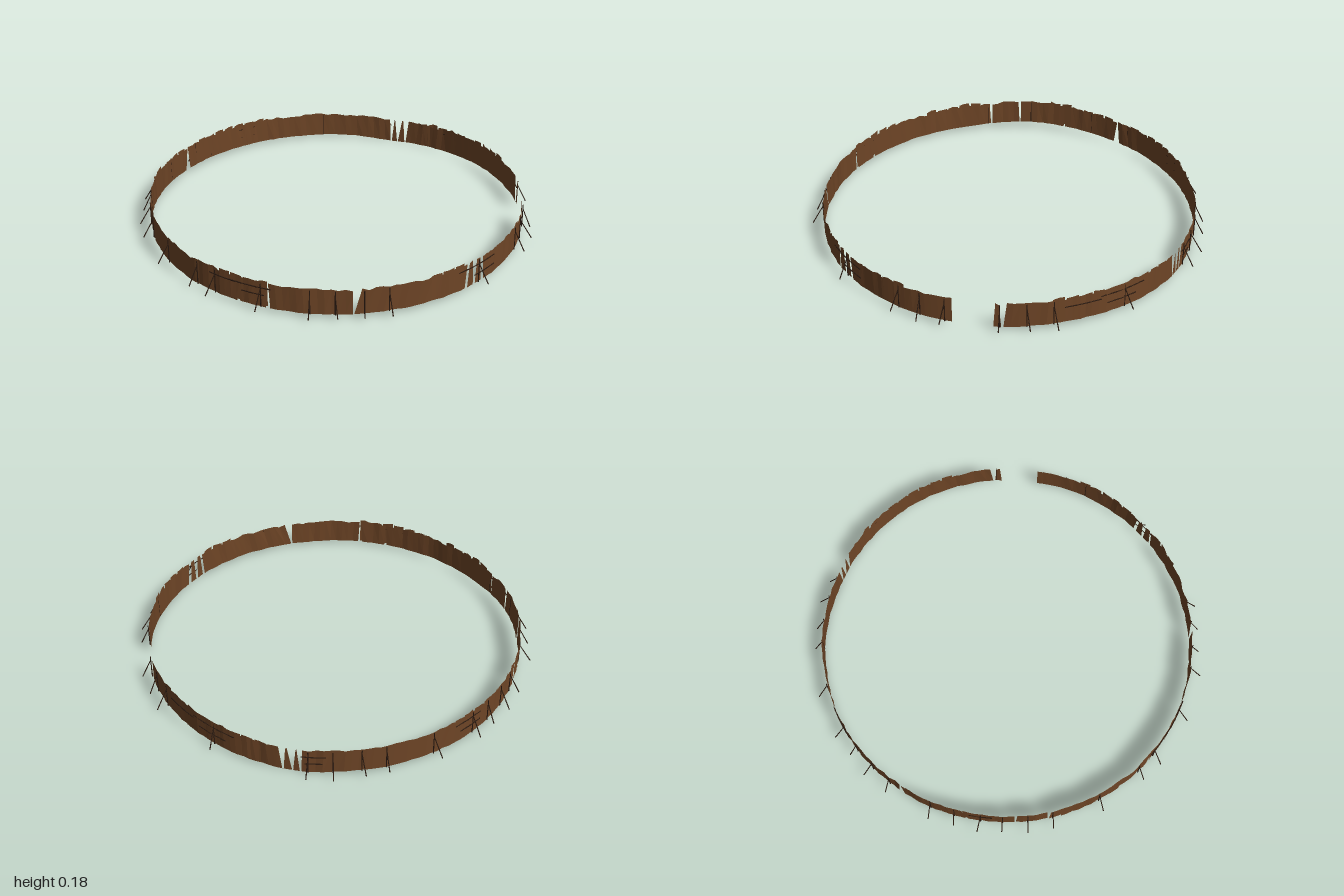
import * as THREE from 'three';

const R = 0.93;
const rad = THREE.MathUtils.degToRad;
const wood = new THREE.MeshStandardMaterial({ color: 0x6e4526, side: THREE.DoubleSide, flatShading: true });
const darkWood = new THREE.MeshStandardMaterial({ color: 0x2a1a10, flatShading: true });

let seed = 7;
const rnd = () => (seed = (seed * 16807) % 2147483647) / 2147483647;

// Ground height every 30 degrees, smoothly blended (0 = +x, 90 = +z)
const ground = [0.022, 0.024, 0.022, 0.018, 0.02, 0.022, 0.04, 0.026, 0.018, 0.014, 0.012, 0.025];
function baseY(deg) {
  const t = (((deg % 360) + 360) % 360) / 30;
  const i = Math.floor(t), f = t - i;
  const dip = -0.012 * Math.exp(-(((deg + 540) % 360 - 180 + 73) ** 2) / 90);
  return THREE.MathUtils.lerp(ground[i % 12], ground[(i + 1) % 12], f * f * (3 - 2 * f)) + dip;
}

// Point on the ring at an angle, radius and height
const at = (deg, r, y) => new THREE.Vector3(r * Math.cos(rad(deg)), y, r * Math.sin(rad(deg)));

// Curved run of planks; bottom and top edges may end at different angles
function wallPanel(b0, b1, t0, t1) {
  const n = Math.max(1, Math.round((b1 - b0) / 2));
  const pos = [], index = [];
  for (let i = 0; i <= n; i++) {
    const f = i / n;
    const b = THREE.MathUtils.lerp(b0, b1, f), t = THREE.MathUtils.lerp(t0, t1, f);
    const r = R + (rnd() - 0.5) * 0.006;
    const top = baseY(t) + 0.127 + (rnd() - 0.5) * 0.012;
    pos.push(...at(b, r, baseY(b)).toArray(), ...at(t, r + (rnd() - 0.5) * 0.004, top).toArray());
    if (i < n) {
      const k = i * 2;
      index.push(k, k + 1, k + 2, k + 1, k + 3, k + 2);
    }
  }
  const g = new THREE.BufferGeometry();
  g.setAttribute('position', new THREE.Float32BufferAttribute(pos, 3));
  g.setIndex(index);
  g.computeVertexNormals();
  return new THREE.Mesh(g, wood);
}

// Thin pole between two points
function pole(a, b, radius) {
  const dir = b.clone().sub(a);
  const mesh = new THREE.Mesh(new THREE.CylinderGeometry(radius * 0.8, radius, dir.length(), 5), darkWood);
  mesh.position.copy(a).add(b).multiplyScalar(0.5);
  mesh.quaternion.setFromUnitVectors(new THREE.Vector3(0, 1, 0), dir.normalize());
  return mesh;
}

export function createModel() {
  const model = new THREE.Group();
  const add = (name, mesh) => { mesh.name = name; model.add(mesh); };

  // Wall runs with wedge gaps: bottom start, bottom end, top start, top end
  const runs = [
    [5.5, 41.5, 5.5, 42.3], [42.7, 45.2, 43.3, 44.8], [46, 48.6, 46.4, 48], [49.4, 83.8, 48.8, 81.6],
    [84.2, 107.3, 84.2, 107.8], [108.6, 116.6, 108.2, 117], [117.4, 163, 117.2, 162.6],
    [163.4, 173, 163.6, 172.6], [173.4, 188.8, 173.5, 189], [189.2, 208, 189.1, 209.1],
    [210.2, 288, 209.3, 287.6], [288.4, 290.3, 289.2, 289.5], [290.6, 293, 292, 292.4],
    [293.4, 351, 294.4, 350], [351.6, 353.8, 352.2, 353.2],
  ];
  runs.forEach(run => add('wallPanel', wallPanel(...run)));

  // Loose planks over the wall, giving its uneven top edge
  const ragged = [[20, 40], [50, 62], [108, 132], [140, 160], [184, 207], [215, 240], [298, 335]];
  for (const [from, to] of ragged) {
    for (let d = from; d < to; d += 4) {
      const plank = wallPanel(d, d + 3.4, d, d + 3.4);
      plank.scale.set(1.003, 1, 1.003);
      plank.position.y = 0.004 + rnd() * 0.009;
      add('loosePlank', plank);
    }
  }

  // Leaning struts with an upright post behind each
  const strutAngles = [
    7.5, 15, 22, 44, 74, 81, 89, 96, 110, 125, 132, 147, 162, 169.5, 177, 183.5,
    191.5, 199, 213.5, 220.5, 228, 235, 249.5, 264, 271, 279, 286, 315, 337, 344.5, 352,
  ];
  for (const d of strutAngles) {
    const y = baseY(d);
    const skew = (rnd() - 0.5) * 1.6;
    add('upright', pole(at(d, R + 0.004, y), at(d, R + 0.004, y + 0.122), 0.003));
    add('strut', pole(at(d + skew, 0.975 + rnd() * 0.02, y + 0.006), at(d, R + 0.004, y + 0.1), 0.0028));
  }

  // Horizontal rails: start angle, end angle, height above ground
  const rails = [
    [37, 52, 0.1], [37, 46, 0.05], [107, 120, 0.102], [118, 127, 0.1], [109, 116, 0.065],
    [180, 187, 0.09], [232, 242, 0.1], [232, 240, 0.055], [281, 288, 0.095], [282, 287, 0.055],
    [308, 323, 0.1], [311, 321, 0.055], [323, 334, 0.085],
  ];
  for (const [a, b, h] of rails) {
    const steps = Math.ceil((b - a) / 5), s = (b - a) / steps;
    for (let i = 0; i < steps; i++) {
      const p = a + i * s, q = p + s;
      add('rail', pole(at(p, R + 0.005, baseY(p) + h), at(q, R + 0.005, baseY(q) + h), 0.003));
    }
  }
  return model;
}
